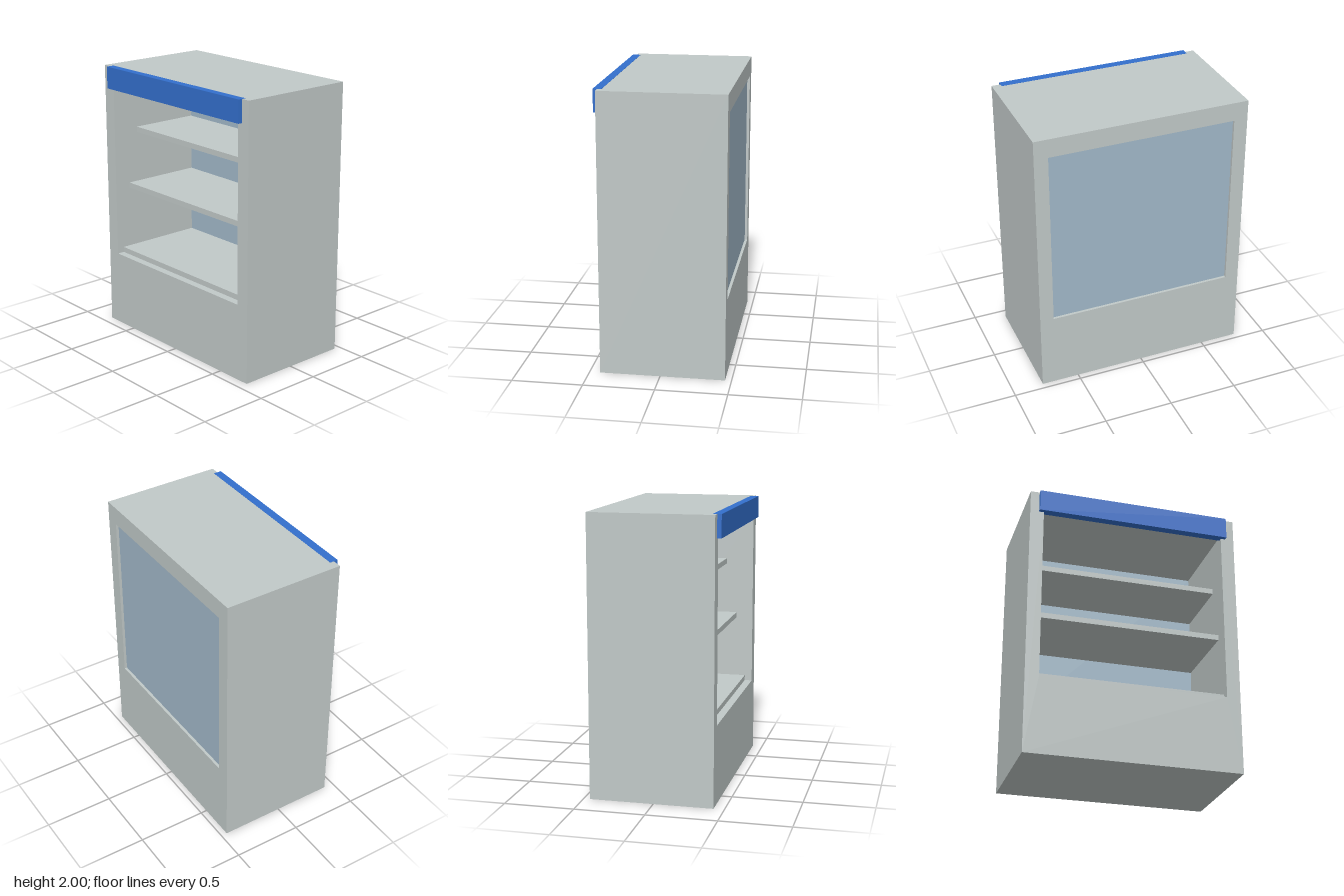
import * as THREE from 'three';

export function createModel() {
  const model = new THREE.Group();
  model.name = 'displayCabinet';

  const material = (name, color) => {
    const m = new THREE.MeshStandardMaterial({ color });
    m.name = name;
    return m;
  };
  const casing = material('casingGrey', 0xc1c9c8);
  const panel = material('panelBlueGrey', 0xa2b9c9);
  const blue = material('signBlue', 0x336fcc);

  const BACK = -0.455, FRONT = 0.425; // cabinet depth
  const HALF = 0.675, SILL = 0.56, HEAD = 1.865; // opening

  // Box given by its limits on each axis
  const addBox = (name, mat, [x0, x1], [y0, y1], [z0, z1]) => {
    const mesh = new THREE.Mesh(new THREE.BoxGeometry(x1 - x0, y1 - y0, z1 - z0), mat);
    mesh.position.set((x0 + x1) / 2, (y0 + y1) / 2, (z0 + z1) / 2);
    mesh.name = name;
    model.add(mesh);
  };

  const rectangle = (Type, half, y0, y1) => new Type([
    new THREE.Vector2(-half, y0), new THREE.Vector2(half, y0),
    new THREE.Vector2(half, y1), new THREE.Vector2(-half, y1),
  ]);

  // Casing with one opening running from front to back
  const outline = rectangle(THREE.Shape, 0.775, 0, 2);
  outline.holes.push(rectangle(THREE.Path, HALF, SILL, HEAD));
  const body = new THREE.Mesh(
    new THREE.ExtrudeGeometry(outline, { depth: FRONT - BACK, bevelEnabled: false }), casing);
  body.position.z = BACK;
  body.name = 'casing';
  model.add(body);

  // Back panel, slightly recessed from the rear face
  const panelFront = -0.31;
  addBox('backPanel', panel, [-HALF, HALF], [SILL, HEAD], [-0.435, panelFront]);

  // Shelves, each shallower than the one below: underside height, front edge
  [[0.56, 0.37], [1.06, 0.3], [1.48, 0.22]].forEach(([y, front], i) =>
    addBox(`shelf${i + 1}`, casing, [-HALF, HALF], [y, y + 0.04], [panelFront, front]));

  // Header sign let into the top front edge
  addBox('headerSign', blue, [-0.71, 0.71], [1.84, 2.001], [0.395, 0.455]);

  return model;
}
